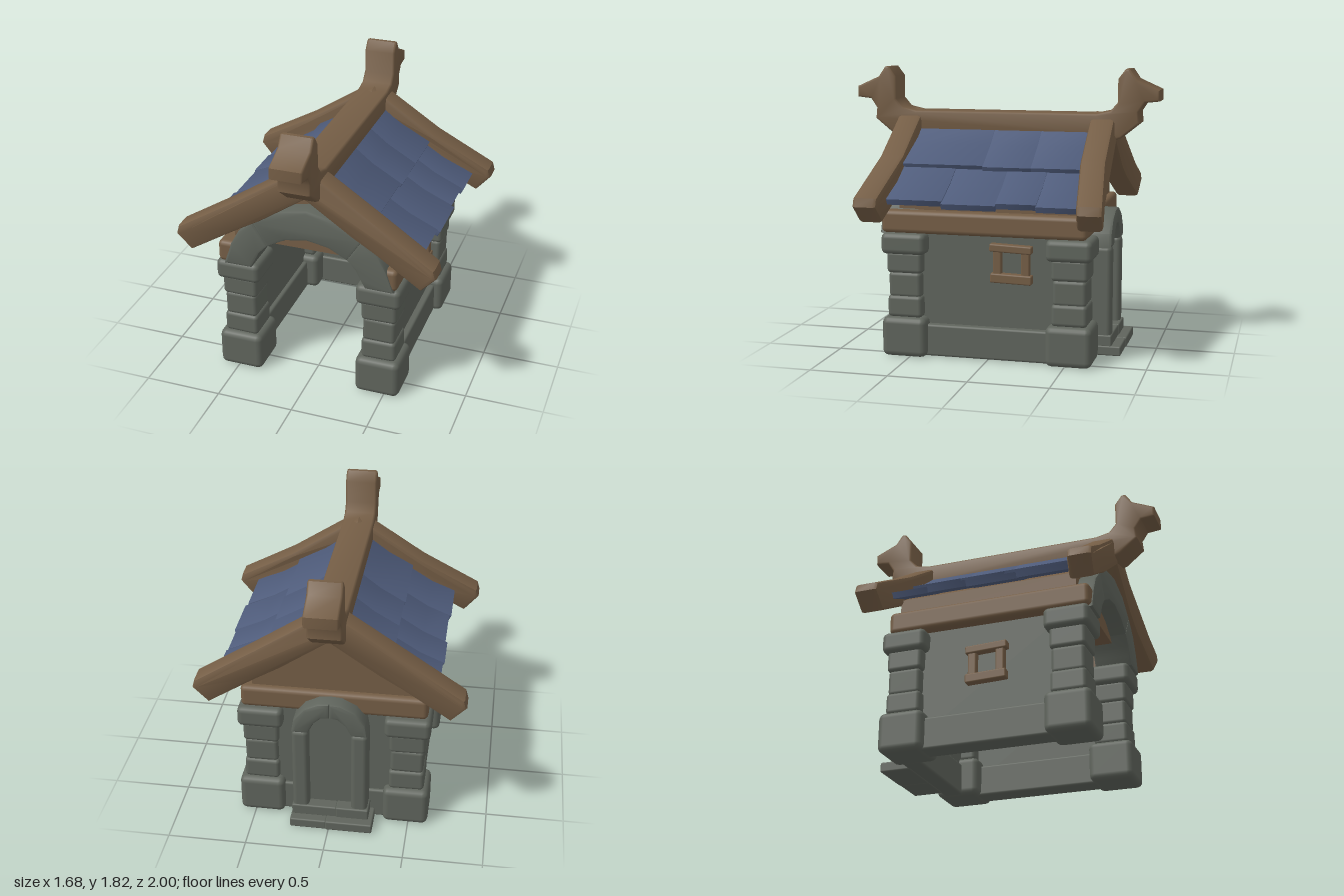
import * as THREE from 'three';
import { toCreasedNormals } from 'three/addons/utils/BufferGeometryUtils.js';
import { RoundedBoxGeometry } from 'three/addons/geometries/RoundedBoxGeometry.js';

const material = (name, color) => {
  const m = new THREE.MeshStandardMaterial({ color });
  m.name = name;
  return m;
};

export function createModel() {
  const model = new THREE.Group();
  model.name = 'shrine';
  const stone = material('grey stone', 0x5f645c);
  const wood = material('brown wood', 0x745d45);
  const slate = material('blue slate', 0x4e5b7a);

  const add = (name, geometry, mat, parent = model) => {
    const mesh = new THREE.Mesh(geometry, mat);
    mesh.name = name;
    parent.add(mesh);
    return mesh;
  };

  // Rounded block given by its limits on each axis
  const block = (name, x, y, z, mat, radius = 0.02, parent = model) => {
    const size = [x, y, z].map(([a, b]) => Math.abs(b - a));
    const r = Math.min(radius, Math.min(...size) * 0.45);
    const mesh = add(name, new RoundedBoxGeometry(...size, 2, r), mat, parent);
    mesh.position.set((x[0] + x[1]) / 2, (y[0] + y[1]) / 2, (z[0] + z[1]) / 2);
    return mesh;
  };

  // Outline in x and y, extruded from z0 to z1 with bevelled edges
  const slab = (points, z0, z1, bevel = 0.02) => {
    const shape = new THREE.Shape(points.map(([x, y]) => new THREE.Vector2(x, y)));
    const g = new THREE.ExtrudeGeometry(shape, {
      depth: z1 - z0 - 2 * bevel, bevelEnabled: bevel > 0, bevelSize: bevel,
      bevelThickness: bevel, bevelOffset: -bevel, bevelSegments: 2,
    });
    return g.translate(0, 0, z0 + bevel);
  };
  const creased = (g) => toCreasedNormals(g, 0.6);
  const mirrored = (points) => points.map(([x, y]) => [-x, y]).reverse();

  // The walls and pillars sit slightly to the right of the ridge
  const wallShift = -0.013;

  for (const sx of [-1, 1]) {
    // Corner pillars: base, three shaft stones and a cap
    for (const front of [true, false]) {
      const pillar = new THREE.Group();
      pillar.name = (front ? 'front' : 'back') + (sx > 0 ? 'Left' : 'Right') + 'Pillar';
      pillar.position.set(sx * 0.466 + wallShift, 0, front ? 0.535 : -0.525);
      model.add(pillar);
      const stones = [
        ['base', 0.146, 0.015, 0.27, 0.04],
        ['shaftStone', 0.113, 0.265, 0.405, 0.025],
        ['shaftStone', 0.106, 0.395, 0.56, 0.025],
        ['shaftStone', 0.115, 0.55, 0.69, 0.025],
        ['cap', 0.145, 0.675, 0.812, 0.035],
      ];
      stones.forEach(([name, h, y0, y1, r], i) => {
        const s = block(name, [-h, h], [y0, y1], [-h, h], stone, r, pillar);
        s.rotation.z = sx * [0, 0.015, -0.015, 0.015, 0][i];
      });
    }

    // Side walls with plinth and sill beam
    const side = (a, b) => [sx * a + wallShift, sx * b + wallShift];
    block('sideWall', side(0.43, 0.51), [0.03, 0.83], [-0.55, 0.55], stone, 0.005);
    block('sidePlinth', side(0.4, 0.555), [0.02, 0.225], [-0.5, 0.5], stone, 0.015);
    block('sideBeam', side(0.44, 0.589), [0.81, 0.955], [-0.63, 0.68], wood, 0.03);

    // Small wooden window frame, lower and further forward on the right side
    const frame = new THREE.Group();
    frame.name = sx > 0 ? 'leftWindowFrame' : 'rightWindowFrame';
    frame.position.set(0, sx > 0 ? 0.635 : 0.535, sx > 0 ? -0.15 : 0.01);
    model.add(frame);
    const bar = side(0.49, 0.56);
    block('windowLintel', bar, [0.075, 0.125], [-0.135, 0.135], wood, 0.01, frame).rotation.x = -0.04;
    block('windowSill', bar, [-0.12, -0.06], [-0.135, 0.13], wood, 0.01, frame).rotation.x = -0.03;
    block('windowPost', side(0.49, 0.55), [-0.075, 0.095], [0.06, 0.115], wood, 0.01, frame);
    block('windowPost', side(0.49, 0.55), [-0.075, 0.095], [-0.12, -0.065], wood, 0.01, frame);
  }

  // Back wall
  block('backWall', [-0.46, 0.44], [0.03, 0.82], [-0.6, -0.51], stone, 0.005);
  block('backPlinth', [-0.4, 0.38], [0.02, 0.225], [-0.62, -0.49], stone, 0.015);
  block('backBeam', [-0.6, 0.575], [0.81, 0.955], [-0.635, -0.535], wood, 0.03);

  // Back door: two posts, an arch on top, a plain panel and steps
  const archLeft = [[0.24, 0.71], [0.225, 0.8], [0.16, 0.885], [0.07, 0.93], [0, 0.935],
    [0, 0.83], [0.05, 0.825], [0.1, 0.78], [0.135, 0.71]];
  for (const pts of [archLeft, mirrored(archLeft)]) {
    add('doorArch', creased(slab(pts, -0.735, -0.52, 0.02)), stone);
  }
  for (const sx of [-1, 1]) {
    block('doorPost', [sx * 0.135, sx * 0.24], [0.1, 0.72], [-0.733, -0.55], stone, 0.03);
  }
  add('doorPanel', slab([[-0.16, 0.08], [0.16, 0.08], [0.16, 0.74], [0.08, 0.85],
    [-0.08, 0.85], [-0.16, 0.74]], -0.665, -0.525, 0), stone);
  block('lowerStep', [-0.28, 0.02], [0.015, 0.08], [-0.805, -0.6], stone, 0.01);
  block('lowerStep', [0.015, 0.25], [0.015, 0.078], [-0.8, -0.6], stone, 0.01);
  block('upperStep', [-0.25, -0.04], [0.07, 0.15], [-0.745, -0.6], stone, 0.01);
  block('upperStep', [-0.045, 0.245], [0.07, 0.147], [-0.74, -0.6], stone, 0.01);

  // Front arch in three large stones, standing proud of the sill beams
  const haunch = [[0.56, 0.805], [0.51, 0.95], [0.455, 1.05], [0.355, 1.14],
    [0.255, 0.985], [0.315, 0.92], [0.345, 0.86], [0.375, 0.805]];
  const crown = [[0.36, 1.136], [0.2, 1.235], [0, 1.275], [-0.2, 1.235], [-0.36, 1.136],
    [-0.26, 0.981], [-0.14, 1.045], [0, 1.07], [0.14, 1.045], [0.26, 0.981]];
  for (const pts of [haunch, mirrored(haunch), crown]) {
    add('archStone', creased(slab(pts, 0.44, 0.692, 0.018)), stone);
  }

  // Timber attic below the roof
  add('attic', slab([[-0.525, 0.945], [0.505, 0.945], [0.505, 1.085], [0, 1.42], [-0.525, 1.07]],
    -0.59, 0.58, 0), wood);

  // Bargeboards at both gables, their ends bent outwards
  const half = [[0, 1.555], [0.1, 1.515], [0.45, 1.285], [0.825, 1.065], [0.84, 1.01],
    [0.745, 0.905], [0.45, 1.075], [0.3, 1.16], [0, 1.365]];
  const chevron = [...half, ...mirrored(half).slice(1, -1)];
  for (const sz of [-1, 1]) {
    const g = slab(chevron, -0.08, 0.08, 0.025);
    const p = g.attributes.position;
    for (let i = 0; i < p.count; i++) {
      const bend = Math.max(0, (Math.abs(p.getX(i)) - 0.4) / 0.4) * 0.05;
      p.setZ(i, p.getZ(i) + sz * (0.64 + bend));
    }
    g.computeVertexNormals();
    add(sz > 0 ? 'frontBargeboard' : 'backBargeboard', creased(g), wood);
  }

  // Ridge beam with a carved beast head at each end (outline in z and y)
  const head = [[0.6, 1.545], [0.69, 1.565], [0.737, 1.62], [0.737, 1.767], [0.785, 1.83],
    [0.81, 1.83], [0.855, 1.765], [1, 1.7], [1, 1.63], [0.91, 1.62], [0.87, 1.56],
    [0.877, 1.49], [0.76, 1.395], [0.68, 1.365]];
  const ridge = slab([...head, ...mirrored(head)], -0.105, 0.105, 0.014);
  add('ridgeBeam', toCreasedNormals(ridge.rotateY(-Math.PI / 2), 0.9), wood);

  // Slate rows; every tile is [z0, z1, shift down the slope]
  const rows = [
    { name: 'upperSlate', path: [[0.04, 1.485], [0.22, 1.345], [0.41, 1.235]],
      tiles: [[0.06, 0.6, -0.004], [-0.25, 0.065, 0.006], [-0.6, -0.245, 0.004]] },
    { name: 'lowerSlate', path: [[0.33, 1.255], [0.52, 1.135], [0.705, 1.05]],
      tiles: [[0.24, 0.6, 0], [-0.1, 0.245, 0.018], [-0.35, -0.095, 0.002], [-0.6, -0.345, 0.015]] },
  ];
  for (const sx of [-1, 1]) {
    const roof = new THREE.Group();
    roof.name = sx > 0 ? 'leftRoof' : 'rightRoof';
    roof.scale.x = sx;
    model.add(roof);
    for (const { name, path, tiles } of rows) {
      for (const [z0, z1, d] of tiles) {
        const shift = sx > 0 ? d : -0.03 - d * 0.8;
        const top = path.map(([x, y], i) => (i === 2 ? [x + shift, y - shift * 0.55] : [x, y]));
        const under = top.map(([x, y]) => [x - 0.018, y - 0.036]).reverse();
        const tile = add(name, creased(slab([...top, ...under], z0, z1, 0.005)), slate, roof);
        tile.position.y = -0.25 * Math.abs(d) - 0.005;
      }
    }
  }

  return model;
}
